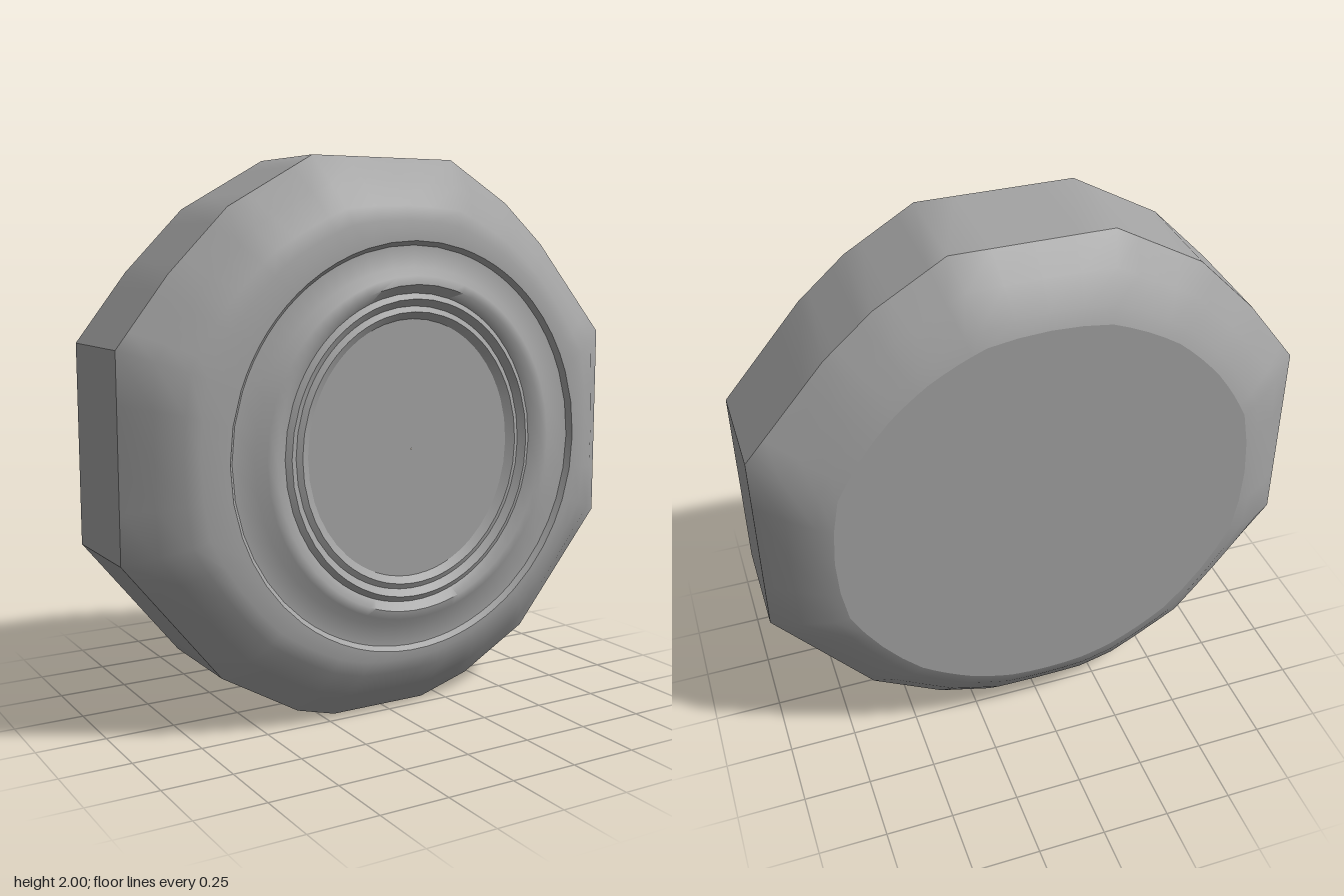
import * as THREE from 'three';
import { toCreasedNormals } from 'three/addons/utils/BufferGeometryUtils.js';

// Uneven tread outline, counter-clockwise seen from the front
const OUTLINE = [
  [1, 0.64], [1, 1.36], [0.71, 1.7], [0.54, 1.85], [0.29, 2], [-0.28, 2], [-0.6, 1.82], [-0.815, 1.6],
  [-1, 1.36], [-1, 0.65], [-0.645, 0.21], [-0.35, 0.04], [-0.2, 0], [0.18, 0], [0.38, 0.06], [0.645, 0.21],
];
const SUBDIVISIONS = 4;

// Points along the outline, relative to the wheel axis
const rim = [];
OUTLINE.forEach(([x, y], i) => {
  const [nx, ny] = OUTLINE[(i + 1) % OUTLINE.length];
  for (let k = 0; k < SUBDIVISIONS; k++) {
    const t = k / SUBDIVISIONS;
    rim.push([x + (nx - x) * t, y + (ny - y) * t - 1]);
  }
});

// Scaled outline, blended towards a circle by the given roundness
function tyreLoop(scale, z, round) {
  return rim.map(([x, y]) => {
    const k = scale * (1 - round + round / Math.hypot(x, y));
    return [x * k, 1 + y * k, z];
  });
}

// Ellipse around the slightly offset hub centre
function hubLoop(rx, ry, z) {
  return rim.map(([x, y]) => {
    const a = Math.atan2(y, x);
    return [0.037 + rx * Math.cos(a), 0.98 + ry * Math.sin(a), z];
  });
}

// Skin a row of loops, running from back to front
function loft(loops, crease) {
  const n = rim.length;
  const index = [];
  for (let j = 0; j < loops.length - 1; j++) {
    for (let i = 0; i < n; i++) {
      const a = j * n + i, b = j * n + (i + 1) % n;
      if (j > 0 || loops[0][0][0] !== loops[0][1][0]) index.push(a, b, b + n);
      index.push(a, b + n, a + n);
    }
  }
  const g = new THREE.BufferGeometry();
  g.setAttribute('position', new THREE.Float32BufferAttribute(loops.flat(2), 3));
  g.setIndex(index);
  return toCreasedNormals(g, crease);
}

export function createModel() {
  const group = new THREE.Group();
  group.name = 'wheel';
  const grey = new THREE.MeshStandardMaterial({ color: 0xa3a3a3 });
  grey.name = 'grey';

  const add = (name, geometry) => {
    const mesh = new THREE.Mesh(geometry, grey);
    mesh.name = name;
    group.add(mesh);
  };

  // Flat back disc
  add('backFace', loft([tyreLoop(0, -0.37, 1), tyreLoop(0.77, -0.37, 0.7)], 0.6));

  // Back bevel, tread and front bevel
  add('tyre', loft([
    tyreLoop(0.77, -0.37, 0.7),
    tyreLoop(0.82, -0.35, 0.5),
    tyreLoop(0.91, -0.285, 0.2),
    tyreLoop(1, -0.2, 0),
    tyreLoop(1, 0.19, 0),
    tyreLoop(0.91, 0.275, 0.2),
    tyreLoop(0.83, 0.335, 0.5),
    tyreLoop(0.78, 0.352, 0.7),
    hubLoop(0.715, 0.73, 0.354),
  ], 0.6));

  // Groove around the hub and its stepped rings
  add('hubRings', loft([
    hubLoop(0.715, 0.73, 0.354),
    hubLoop(0.7, 0.715, 0.335),
    hubLoop(0.62, 0.64, 0.34),
    hubLoop(0.585, 0.61, 0.363),
    hubLoop(0.55, 0.58, 0.368),
    hubLoop(0.51, 0.55, 0.345),
    hubLoop(0.49, 0.53, 0.357),
    hubLoop(0.465, 0.505, 0.338),
    hubLoop(0.445, 0.485, 0.348),
    hubLoop(0.415, 0.46, 0.33),
  ], 0.8));

  // Flat centre cap
  add('centreCap', loft([hubLoop(0.415, 0.46, 0.33), hubLoop(0.002, 0.002, 0.33)], 0.6));

  return group;
}
